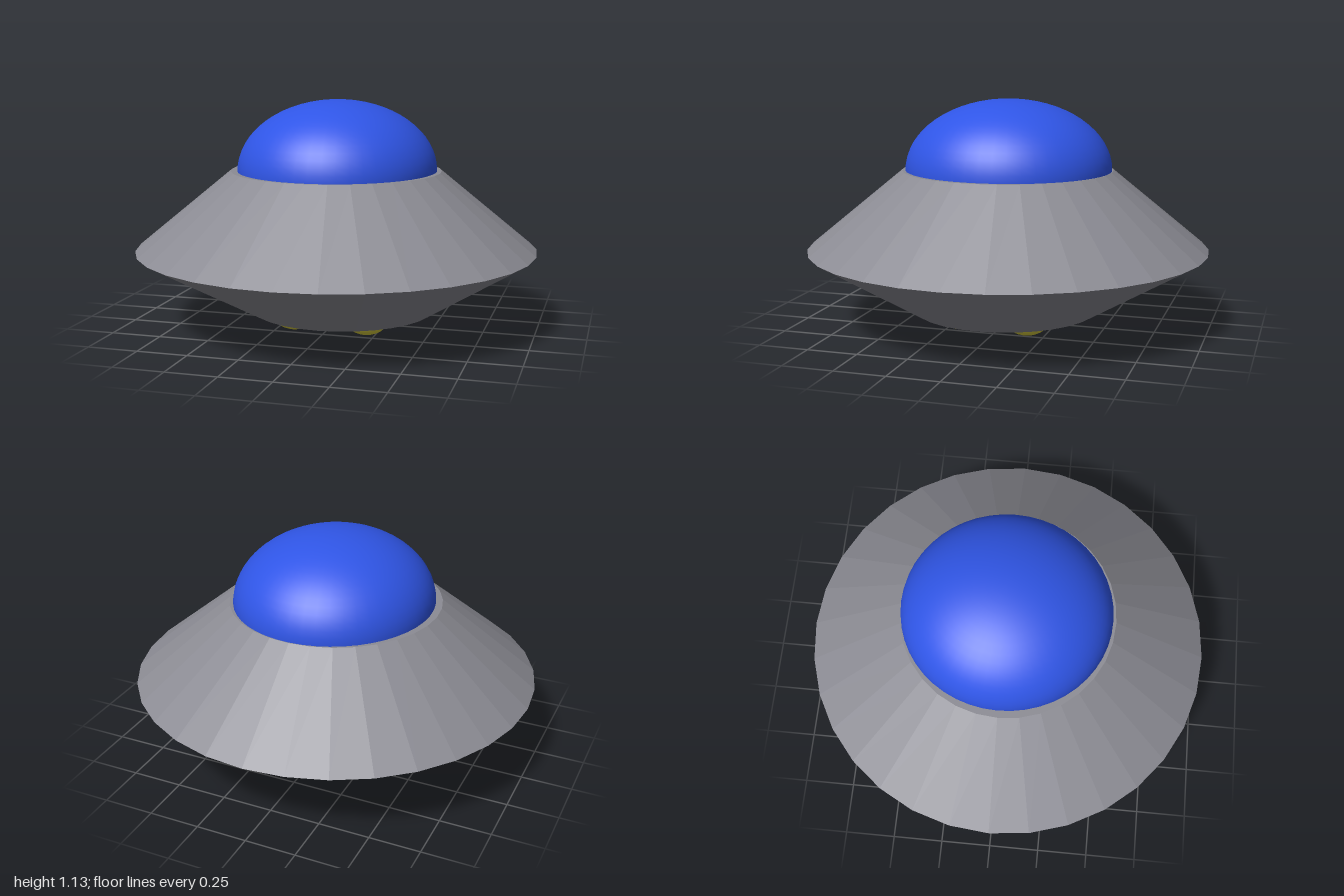
import * as THREE from 'three';

const SIDES = 32;
const RIM_Y = 0.39, TOP_Y = 0.78, BASE_Y = 0.08;

function createMesh(name, geometry, color, flatShading = false) {
  const mesh = new THREE.Mesh(geometry, new THREE.MeshStandardMaterial({ color, flatShading }));
  mesh.name = name;
  return mesh;
}

// Capped cone section between two heights, with its lower ring shifted sideways
function hullSection(topRadius, bottomRadius, topY, bottomY, shiftX = 0) {
  const geometry = new THREE.CylinderGeometry(topRadius, bottomRadius, topY - bottomY, SIDES);
  geometry.translate(0, (topY + bottomY) / 2, 0);
  const pos = geometry.attributes.position;
  for (let i = 0; i < pos.count; i++) {
    if (pos.getY(i) < bottomY + 0.001) pos.setX(i, pos.getX(i) + shiftX);
  }
  geometry.computeVertexNormals();
  return geometry;
}

export function createModel() {
  const model = new THREE.Group();
  model.name = 'flyingSaucer';
  const hullColor = 0x8c8c94;

  // Hull: two cones meeting at the sharp rim, the lower one slightly off centre
  model.add(createMesh('upperHull', hullSection(0.525, 1, TOP_Y, RIM_Y), hullColor, true));
  model.add(createMesh('lowerHull', hullSection(1, 0.463, RIM_Y, BASE_Y, 0.035), hullColor, true));

  // Canopy: smooth squashed dome
  const dome = createMesh('dome', new THREE.SphereGeometry(1, 48, 32), 0x2f55e6);
  dome.scale.set(0.495, 0.35, 0.515);
  dome.position.set(0.005, TOP_Y, -0.005);
  model.add(dome);

  // Four landing lights half sunk into the base
  const lights = new THREE.Group();
  lights.name = 'landingLights';
  const spots = [[-0.16, -0.168], [0.205, 0.182], [0.215, -0.162], [-0.163, 0.18]];
  for (const [x, z] of spots) {
    const light = createMesh('landingLight', new THREE.SphereGeometry(1, 24, 16), 0xd6cb3c);
    light.scale.set(0.11, BASE_Y, 0.11);
    light.position.set(x, BASE_Y, z);
    lights.add(light);
  }
  model.add(lights);
  return model;
}
